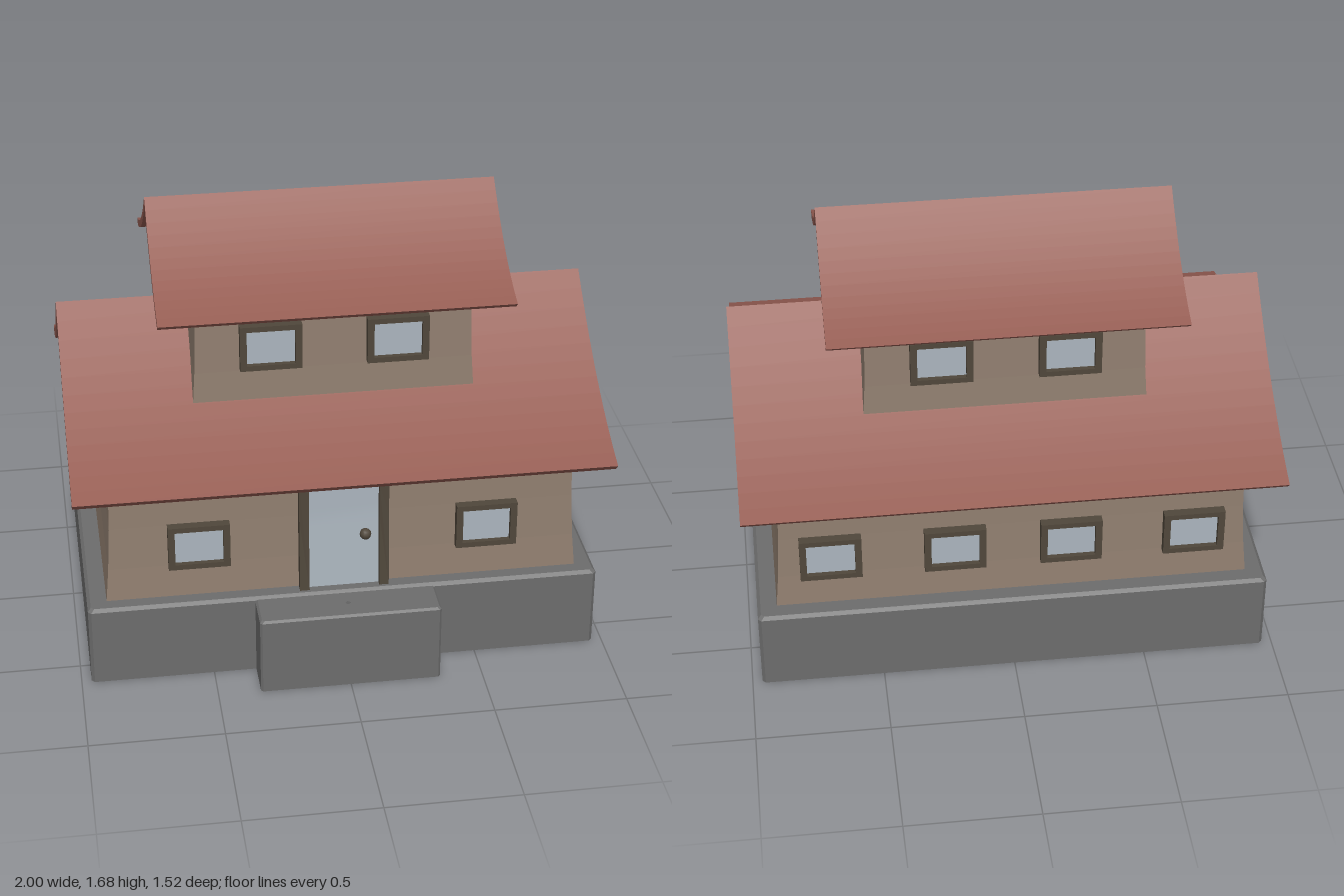
import * as THREE from 'three';

const CZ = -0.04; // z of the house's ridge line

function makeMat(name, color, side = THREE.FrontSide) {
  const m = new THREE.MeshStandardMaterial({ color, side });
  m.name = name;
  return m;
}

export function createModel() {
  const group = new THREE.Group();
  const stone = makeMat('grey stone', 0x6d6d6d, THREE.DoubleSide);
  const plaster = makeMat('tan plaster', 0x917f70, THREE.DoubleSide);
  const tile = makeMat('red roof', 0x955d53);
  const wood = makeMat('dark wood', 0x50473b);
  const glass = makeMat('pale glass', 0xabb5be);

  const add = (name, geo, mat, parent = group) => {
    const mesh = new THREE.Mesh(geo, mat);
    mesh.name = name;
    parent.add(mesh);
    return mesh;
  };

  // Open shell through rectangular rings [y, halfX, halfZ], corners cut by c
  function shell(rings, c = 0) {
    const pos = [];
    const outline = ([y, w, d]) => {
      const k = [[w, d - c], [w - c, d], [-w + c, d], [-w, d - c],
        [-w, -d + c], [-w + c, -d], [w - c, -d], [w, -d + c]];
      return k.map(([x, z]) => [x, y, z]);
    };
    for (let r = 0; r < rings.length - 1; r++) {
      const a = outline(rings[r]), b = outline(rings[r + 1]);
      for (let i = 0; i < 8; i++) {
        const j = (i + 1) % 8;
        if (c === 0 && i % 2 === 0) continue; // no corner faces on sharp shells
        pos.push(...a[i], ...b[j], ...a[j], ...a[i], ...b[i], ...b[j]);
      }
    }
    const g = new THREE.BufferGeometry();
    g.setAttribute('position', new THREE.Float32BufferAttribute(pos, 3));
    g.computeVertexNormals();
    return g;
  }

  // Stone base, hollow under the house, and the entrance step
  add('base', shell([[0, 0.963, 0.657], [0.308, 0.963, 0.657], [0.32, 0.951, 0.645],
    [0.32, 0.87, 0.575]], 0.012), stone).position.z = -0.045;
  add('step', shell([[0, 0.34, 0.085], [0.302, 0.34, 0.085], [0.31, 0.332, 0.077],
    [0.31, 0.01, 0.01]], 0.008), stone).position.z = 0.677;

  // Flared walls of both storeys
  add('lowerWalls', shell([[0.318, 0.89, 0.593], [0.45, 0.878, 0.584], [0.62, 0.868, 0.578],
    [0.84, 0.863, 0.575]]), plaster).position.z = CZ;
  add('upperWalls', shell([[0.97, 0.528, 0.353], [1.12, 0.518, 0.346],
    [1.405, 0.51, 0.34]]), plaster).position.z = CZ;

  // Gable ends: curved below, straight above
  function gables(name, x, half, eave, apex, ctrl) {
    const s = new THREE.Shape();
    s.moveTo(-half, eave);
    s.quadraticCurveTo(-ctrl[0], ctrl[1], 0, apex);
    s.quadraticCurveTo(ctrl[0], ctrl[1], half, eave);
    for (const side of [-1, 1]) {
      const g = new THREE.ShapeGeometry(s, 10).rotateY(side * Math.PI / 2);
      add(name, g, plaster).position.set(side * x, 0, CZ);
    }
  }
  gables('lowerGable', 0.863, 0.575, 0.84, 1.22, [0.246, 0.989]);
  gables('upperGable', 0.51, 0.34, 1.405, 1.62, [0.17, 1.5125]);

  // Sagging roofs; each list is [ridge y, control point, eave point]
  function roof(name, halfX, top, under) {
    const s = new THREE.Shape();
    s.moveTo(-top[2][0], top[2][1]);
    s.quadraticCurveTo(-top[1][0], top[1][1], 0, top[0]);
    s.quadraticCurveTo(top[1][0], top[1][1], top[2][0], top[2][1]);
    s.lineTo(under[2][0], under[2][1]);
    s.quadraticCurveTo(under[1][0], under[1][1], 0, under[0]);
    s.quadraticCurveTo(-under[1][0], under[1][1], -under[2][0], under[2][1]);
    s.closePath();
    const g = new THREE.ExtrudeGeometry(s, { depth: halfX * 2, bevelEnabled: false, curveSegments: 12 });
    g.translate(0, 0, -halfX).rotateY(Math.PI / 2);
    add(name, g, tile).position.z = CZ;
  }
  roof('lowerRoof', 1, [1.278, [0.352, 0.948], [0.72, 0.817]], [1.218, [0.33, 0.912], [0.694, 0.79]]);
  roof('upperRoof', 0.655, [1.683, [0.23, 1.455], [0.474, 1.385]], [1.648, [0.218, 1.433], [0.452, 1.365]]);

  // Windows: a frame with a hole and a thin pane
  const rect = (S, w, h) => {
    const s = new S();
    s.moveTo(-w, -h);
    s.lineTo(w, -h);
    s.lineTo(w, h);
    s.lineTo(-w, h);
    s.closePath();
    return s;
  };
  const frameShape = rect(THREE.Shape, 0.115, 0.09);
  frameShape.holes.push(rect(THREE.Path, 0.09, 0.069));
  const frameGeo = new THREE.ExtrudeGeometry(frameShape, { depth: 0.042, bevelEnabled: false });
  const paneGeo = new THREE.BoxGeometry(0.182, 0.14, 0.006);

  function windowAt(x, y, half, dir) {
    const w = new THREE.Group();
    w.name = 'window';
    add('windowFrame', frameGeo, wood, w).position.z = -0.01;
    add('windowPane', paneGeo, glass, w).position.z = 0.01;
    w.position.set(x, y, CZ + dir * half);
    if (dir < 0) w.rotation.y = Math.PI;
    group.add(w);
  }
  for (const x of [-0.54, 0.54]) windowAt(x, 0.535, 0.581, 1);
  for (const x of [-0.68, -0.217, 0.217, 0.68]) windowAt(x, 0.535, 0.581, -1);
  for (const x of [-0.236, 0.236]) for (const dir of [1, -1]) windowAt(x, 1.22, 0.344, dir);

  // Door: frame and panel follow the flare of the wall
  function flare(g) {
    const p = g.attributes.position;
    for (let i = 0; i < p.count; i++) {
      const t = Math.max(0, (0.62 - p.getY(i)) / 0.3);
      p.setZ(i, p.getZ(i) + 0.018 * t);
    }
    g.computeVertexNormals();
    return g;
  }
  const d = new THREE.Shape();
  [[-0.168, 0.32], [-0.132, 0.32], [-0.132, 0.62], [-0.132, 0.745], [0.132, 0.745], [0.132, 0.62],
    [0.132, 0.32], [0.168, 0.32], [0.168, 0.62], [0.168, 0.78], [-0.168, 0.78], [-0.168, 0.62]]
    .forEach(([x, y], i) => (i ? d.lineTo(x, y) : d.moveTo(x, y)));
  const doorFrame = new THREE.ExtrudeGeometry(d, { depth: 0.045, bevelEnabled: false });
  add('doorFrame', flare(doorFrame.translate(0, 0, 0.525)), wood);
  const panel = new THREE.BoxGeometry(0.266, 0.428, 0.006, 1, 10, 1);
  add('doorPanel', flare(panel.translate(0, 0.534, 0.546)), glass);
  add('doorKnob', new THREE.SphereGeometry(0.022, 10, 8), wood).position.set(0.08, 0.54, 0.572);

  return group;
}
